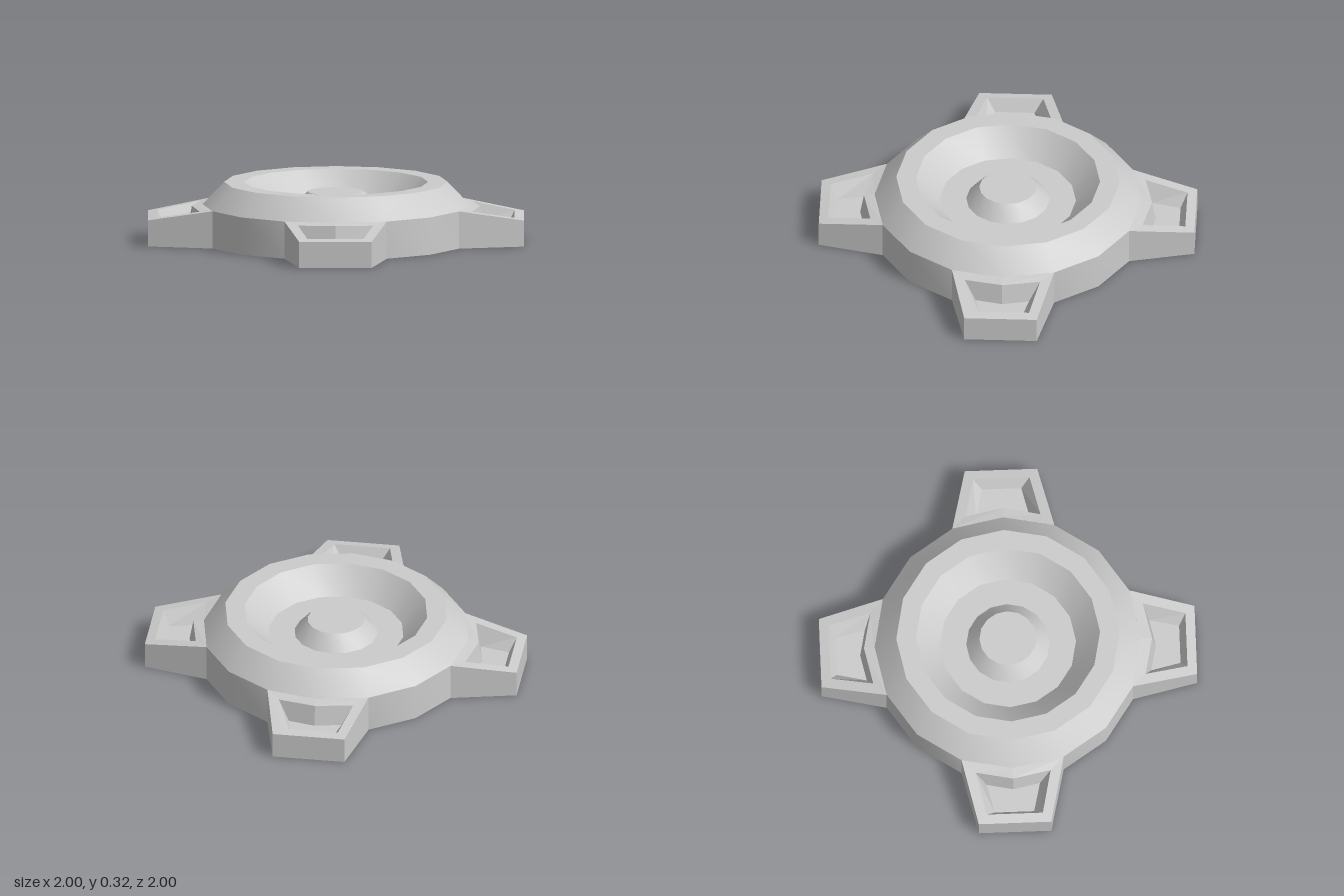
import * as THREE from 'three';
import { toCreasedNormals } from 'three/addons/utils/BufferGeometryUtils.js';

const grey = new THREE.MeshStandardMaterial({ color: 0xcccccc });
const greyFlat = new THREE.MeshStandardMaterial({ color: 0xcccccc, flatShading: true });

// Mirrored five-point loop: outer end, inner corners and inner middle, each [x, y, z]
function loop(end, corner, middle) {
  const flip = ([x, y, z]) => [-x, y, z];
  return [flip(corner), flip(end), end, corner, middle];
}

// One arm: side walls, sloped rim, and a sunken pocket
function armGeometry() {
  const loops = [
    loop([0.193, 0, 1], [0.272, 0, 0.656], [0, 0, 0.71]),
    loop([0.193, 0.14, 1], [0.272, 0.2, 0.656], [0, 0.2, 0.71]),
    loop([0.15, 0.149, 0.95], [0.2, 0.188, 0.725], [0, 0.191, 0.767]),
    loop([0.105, 0.08, 0.915], [0.142, 0.08, 0.757], [0, 0.08, 0.787]),
  ];
  const positions = [];
  const tri = (...points) => points.forEach((p) => positions.push(...p));
  for (let k = 0; k < 3; k++) {
    const a = loops[k], b = loops[k + 1];
    // the outer wall stops where the arm meets the body
    for (let i = 0; i < (k === 0 ? 3 : 5); i++) {
      const j = (i + 1) % 5;
      tri(a[i], a[j], b[j]);
      tri(a[i], b[j], b[i]);
    }
  }
  // pocket floor and underside
  const floor = loops[3], base = loops[0];
  for (let i = 0; i < 3; i++) {
    tri(floor[4], floor[i], floor[i + 1]);
    tri(base[4], base[i + 1], base[i]);
  }
  const geometry = new THREE.BufferGeometry();
  geometry.setAttribute('position', new THREE.Float32BufferAttribute(positions, 3));
  geometry.computeVertexNormals();
  return geometry;
}

// Turned part with 16 sides and sharp edges between its bands
function turned(name, profile) {
  const points = profile.map(([r, y]) => new THREE.Vector2(r, y));
  const mesh = new THREE.Mesh(toCreasedNormals(new THREE.LatheGeometry(points, 16), Math.PI / 6), grey);
  mesh.name = name;
  return mesh;
}

export function createModel() {
  const model = new THREE.Group();
  model.name = 'fourArmedHub';

  // round base with bevelled rim and bowl
  model.add(turned('body', [
    [0, 0], [0.71, 0], [0.71, 0.2], [0.595, 0.32], [0.49, 0.32], [0.362, 0.19], [0.222, 0.19],
  ]));
  // raised knob in the bowl
  model.add(turned('centreKnob', [[0.222, 0.19], [0.152, 0.27], [0, 0.27]]));

  // four arms around the body
  const arm = armGeometry();
  ['frontArm', 'leftArm', 'backArm', 'rightArm'].forEach((name, i) => {
    const mesh = new THREE.Mesh(arm, greyFlat);
    mesh.name = name;
    mesh.rotation.y = (i * Math.PI) / 2;
    model.add(mesh);
  });
  return model;
}
